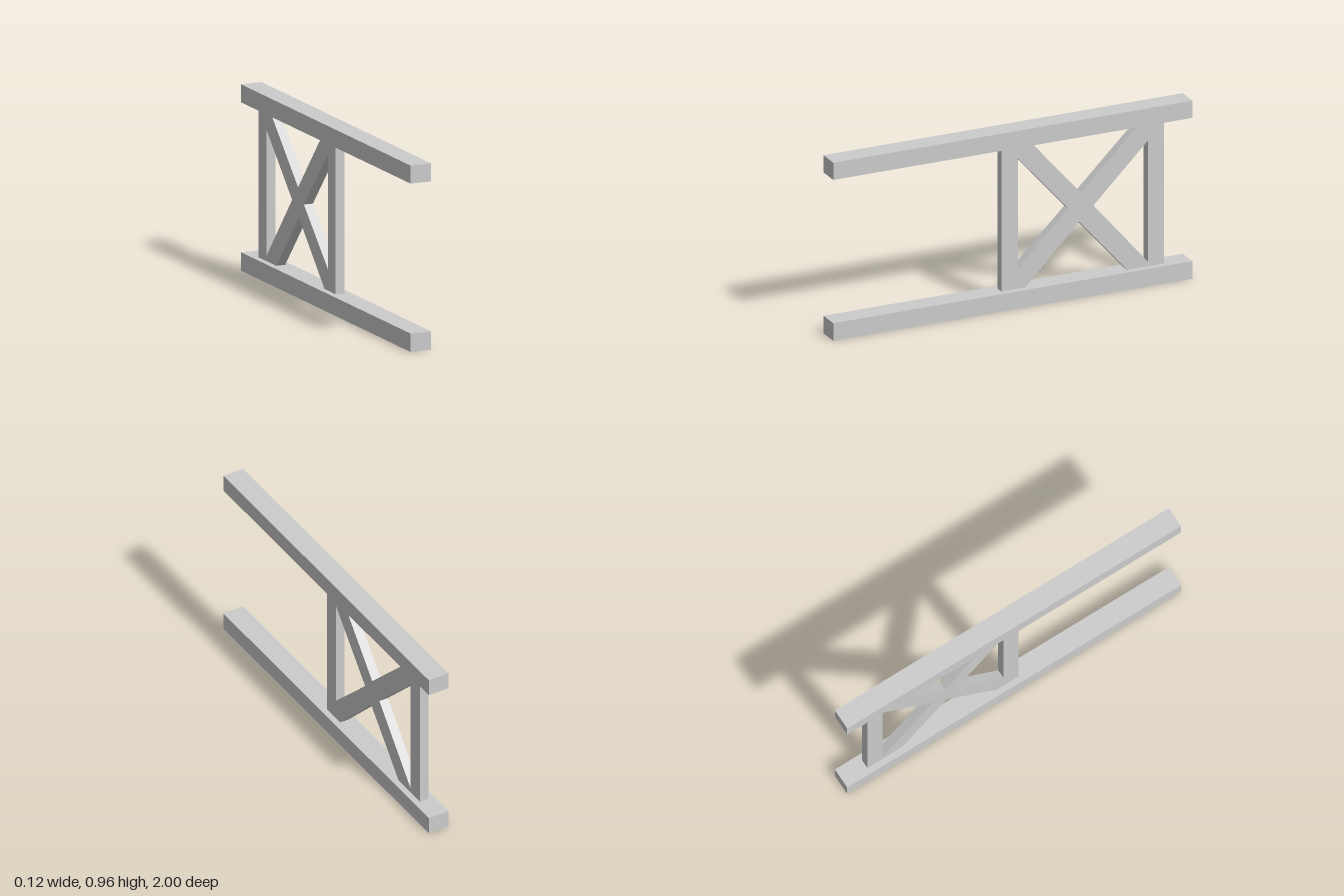
import * as THREE from 'three';

const material = new THREE.MeshStandardMaterial({ color: 0xcccccc, flatShading: true });
const points = (list) => list.map(([u, y]) => new THREE.Vector2(u, y));

// Long square beam along z
function rail(name, bottom, top) {
  const mesh = new THREE.Mesh(new THREE.BoxGeometry(0.115, top - bottom, 2), material);
  mesh.name = name;
  mesh.position.y = (bottom + top) / 2;
  return mesh;
}

export function createModel() {
  const model = new THREE.Group();
  model.name = 'railFrame';
  const low = 0.095, high = 0.87;

  model.add(rail('bottomRail', 0, low), rail('topRail', high, 0.963));

  // Two posts and crossed braces as one flat panel; u runs towards the back.
  // The outline is notched between the braces along each rail.
  const shape = new THREE.Shape(points([
    [-0.048, low], [0.083, low], [0.384, 0.4], [0.651, low], [0.858, low],
    [0.858, high], [0.716, high], [0.394, 0.555], [0.12, high], [-0.048, high],
  ]));
  // Triangular openings beside the front and back posts
  const openings = [
    [[0.043, 0.8], [0.325, 0.48], [0.043, 0.206]],
    [[0.767, 0.121], [0.464, 0.475], [0.767, 0.775]],
  ];
  for (const opening of openings) shape.holes.push(new THREE.Path(points(opening)));

  const thickness = 0.05;
  const geometry = new THREE.ExtrudeGeometry(shape, { depth: thickness, bevelEnabled: false });
  geometry.translate(0, 0, -thickness / 2);
  geometry.rotateY(Math.PI / 2);
  const panel = new THREE.Mesh(geometry, material);
  panel.name = 'crossBracedPanel';
  model.add(panel);

  return model;
}
